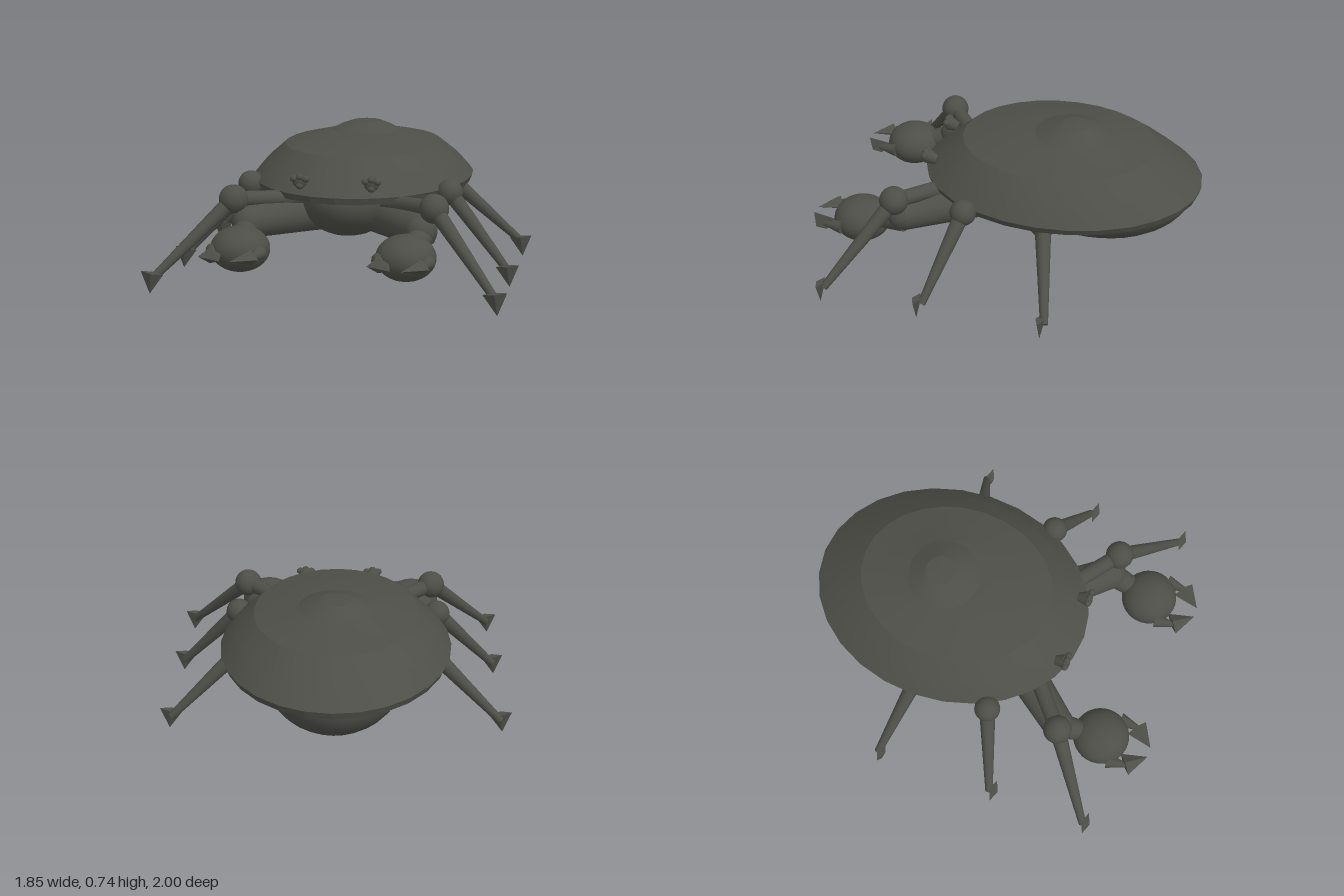
import * as THREE from 'three';
import { toCreasedNormals } from 'three/addons/utils/BufferGeometryUtils.js';

const charcoal = new THREE.MeshStandardMaterial({ color: 0x4d4e47 });
charcoal.name = 'charcoal';

const V = (x, y, z) => new THREE.Vector3(x, y, z);

function add(parent, name, geometry) {
  const mesh = new THREE.Mesh(geometry, charcoal);
  mesh.name = name;
  parent.add(mesh);
  return mesh;
}

// Ball or ellipsoid
function ball(parent, name, c, rx, ry = rx, rz = rx) {
  const m = add(parent, name, new THREE.SphereGeometry(1, 32, 20));
  m.scale.set(rx, ry, rz);
  m.position.copy(c);
  return m;
}

// Tapered cylinder from a to b
function limb(parent, name, a, b, ra, rb, sides = 16) {
  const d = b.clone().sub(a);
  const m = add(parent, name, new THREE.CylinderGeometry(rb, ra, d.length(), sides));
  m.position.copy(a).addScaledVector(d, 0.5);
  m.quaternion.setFromUnitVectors(V(0, 1, 0), d.normalize());
  return m;
}

// Skin over elliptical rings [y, rx, rz, centre z]
function loft(rings, n) {
  const pos = [], index = [];
  rings.forEach(([y, rx, rz, cz], i) => {
    for (let j = 0; j < n; j++) {
      const t = (j / n) * Math.PI * 2;
      pos.push(rx * Math.cos(t), y, cz + rz * Math.sin(t));
      if (i === rings.length - 1) continue;
      const a = i * n + j, c = i * n + (j + 1) % n;
      index.push(a, c, a + n, c, c + n, a + n);
    }
  });
  const g = new THREE.BufferGeometry();
  g.setAttribute('position', new THREE.Float32BufferAttribute(pos, 3));
  g.setIndex(index);
  return toCreasedNormals(g, 0.2);
}

export function createModel() {
  const model = new THREE.Group();
  model.name = 'beetle';

  // Hollow domed shell: crown bump, dome, rim, then underside
  add(model, 'shell', loft([
    [0.75, 0.001, 0.001, -0.33],
    [0.745, 0.08, 0.08, -0.32],
    [0.725, 0.14, 0.13, -0.31],
    [0.7, 0.19, 0.19, -0.3],
    [0.695, 0.22, 0.27, -0.24],
    [0.645, 0.425, 0.515, -0.235],
    [0.555, 0.53, 0.635, -0.25],
    [0.47, 0.6, 0.74, -0.26],
    [0.435, 0.585, 0.73, -0.26],
    [0.465, 0.56, 0.69, -0.26],
    [0.62, 0.4, 0.49, -0.235],
    [0.67, 0.001, 0.001, -0.24],
  ], 28));

  // Abdomen: deep below, shallow where it tucks into the shell
  const abdomen = ball(model, 'abdomen', V(0, 0.44, -0.45), 0.37, 0.29, 0.51);
  const p = abdomen.geometry.attributes.position;
  for (let i = 0; i < p.count; i++) if (p.getY(i) > 0) p.setY(i, p.getY(i) * 0.3);
  abdomen.geometry.computeVertexNormals();
  ball(model, 'thorax', V(0, 0.41, 0.1), 0.26, 0.21, 0.34);

  // [place, hip, knee, ankle z, toe z]
  const legs = [
    ['front', V(0.14, 0.41, 0.2), V(0.52, 0.45, 0.51), 0.785, 0.8],
    ['middle', V(0.14, 0.4, 0.05), V(0.54, 0.455, 0.13), 0.255, 0.28],
    ['rear', V(0.2, 0.4, -0.18), V(0.5, 0.43, -0.28), -0.385, -0.365],
  ];

  for (const s of [1, -1]) {
    const side = s > 0 ? 'left' : 'right';
    const P = (x, y, z) => V(s * x, y, z);

    // Walking legs with flat pointed feet
    for (const [place, h, k, ankleZ, toeZ] of legs) {
      const leg = new THREE.Group();
      leg.name = `${side} ${place} leg`;
      model.add(leg);
      const hip = P(h.x, h.y, h.z), knee = P(k.x, k.y, k.z);
      ball(leg, 'hip', hip, 0.07);
      limb(leg, 'upperLeg', hip, knee, 0.045, 0.04);
      ball(leg, 'knee', knee, place === 'front' ? 0.075 : 0.068);
      limb(leg, 'lowerLeg', knee, P(0.865, 0.085, ankleZ), 0.043, 0.02);
      const foot = add(leg, 'foot', new THREE.ConeGeometry(0.06, 0.11, 4));
      foot.geometry.rotateX(Math.PI).scale(1, 1, 0.4);
      foot.geometry = toCreasedNormals(foot.geometry, 0.3);
      foot.position.copy(P(0.872, 0.06, toeZ));
      foot.rotation.z = s * 0.13;
    }

    // Thick claw arm and round claw
    const arm = new THREE.Group();
    arm.name = `${side} claw arm`;
    model.add(arm);
    limb(arm, 'upperArm', P(0.15, 0.33, 0.12), P(0.46, 0.33, 0.5), 0.11, 0.085, 20);
    ball(arm, 'elbow', P(0.45, 0.33, 0.49), 0.085);
    limb(arm, 'wrist', P(0.46, 0.31, 0.48), P(0.43, 0.27, 0.66), 0.07, 0.05);
    ball(arm, 'claw', P(0.42, 0.25, 0.73), 0.15, 0.115, 0.15);

    // Two flat arrow-headed pincers per claw
    for (const e of [1, -1]) {
      const Q = (x, y, z) => P(0.42 + e * x, y, z);
      limb(arm, 'pincerStem', Q(0.12, 0.25, 0.8), Q(0.107, 0.25, 0.91), 0.038, 0.012, 10);
      const tip = add(arm, 'pincerTip', new THREE.ConeGeometry(0.06, 0.13, 4));
      tip.geometry.rotateX(Math.PI / 2).scale(1, 0.65, 1);
      tip.geometry = toCreasedNormals(tip.geometry, 0.3);
      tip.position.copy(Q(0.066, 0.25, 0.947));
      tip.rotation.y = -s * e * 0.66;
    }

    // Short flared eyes with beaded fronts
    const eye = new THREE.Group();
    eye.name = `${side} eye`;
    model.add(eye);
    limb(eye, 'eyeStalk', P(0.187, 0.525, 0.385), P(0.187, 0.542, 0.435), 0.025, 0.04);
    ball(eye, 'eyeCup', P(0.187, 0.542, 0.437), 0.04, 0.036, 0.018);
    for (const [x, y] of [[-0.03, 0.015], [0.03, 0.015], [0, 0.024], [0, -0.022]]) {
      ball(eye, 'eyeBead', P(0.187 + x, 0.542 + y, 0.443), 0.021, 0.018, 0.018);
    }
  }
  return model;
}
